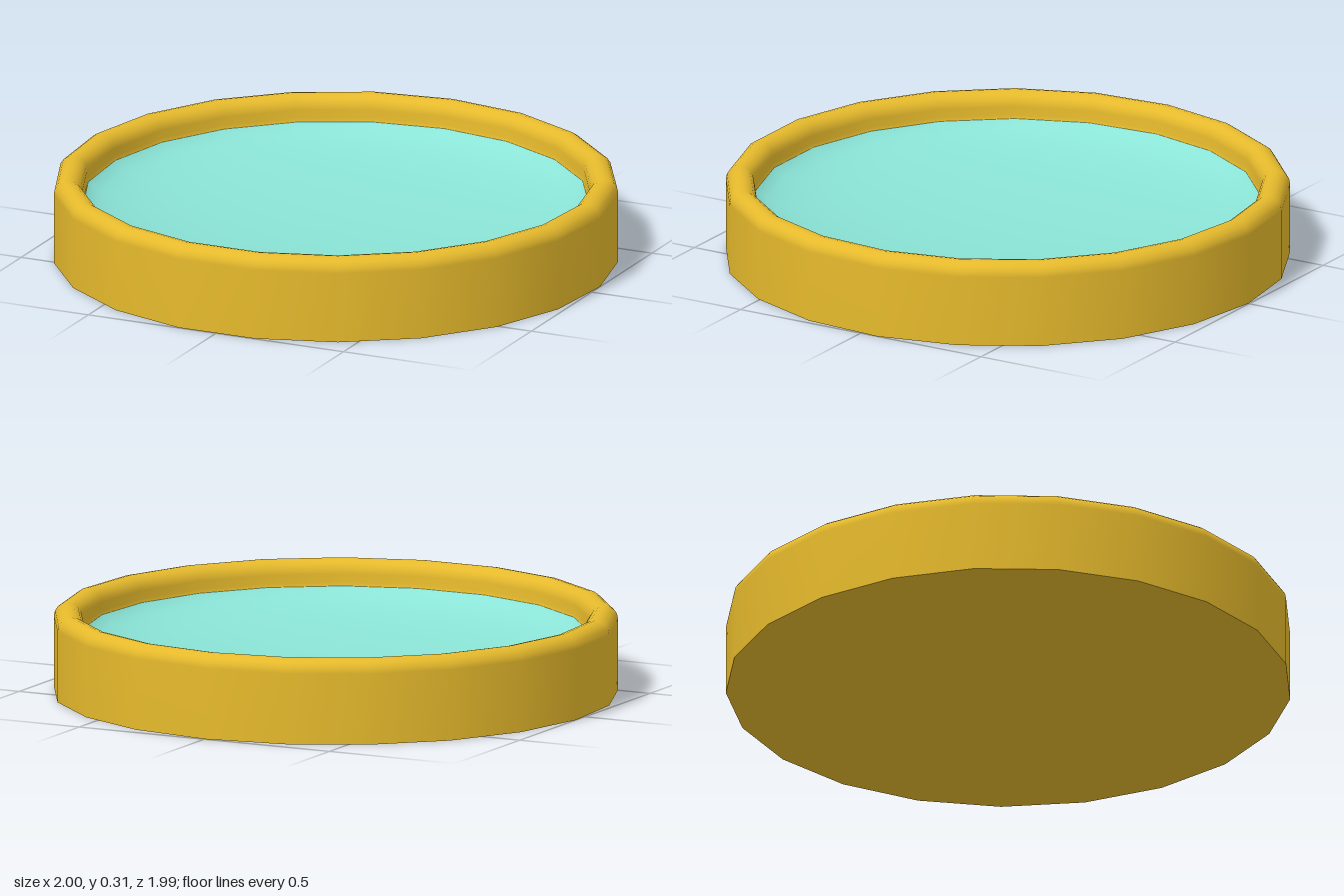
import * as THREE from 'three';

const SIDES = 21;
const R = 1.003;             // outer radius
const RIM = 0.05;            // radius of the rounded rim
const RIM_Y = 0.255;         // height where the rounding starts
const INNER = R - 2 * RIM;   // inner radius
const BOWL_Y = 0.225;        // height where the hollow starts
const BOWL_DEPTH = 0.13;
const SEAM = 0.1;            // angle along the hollow where the colour changes

// Revolve a profile, with one corner pointing straight back
function revolve(name, points, color) {
  const mesh = new THREE.Mesh(
    new THREE.LatheGeometry(points, SIDES, Math.PI),
    new THREE.MeshStandardMaterial({ color })
  );
  mesh.name = name;
  // An odd number of sides reaches further back than forward
  mesh.position.z = 0.0056;
  return mesh;
}

// Points of an elliptical arc around (cx, cy), from angle a to angle b
function arc(cx, cy, rx, ry, a, b, steps) {
  return Array.from({ length: steps + 1 }, (_, i) => {
    const t = a + ((b - a) * i) / steps;
    return new THREE.Vector2(Math.max(0, cx + rx * Math.cos(t)), cy + ry * Math.sin(t));
  });
}

export function createModel() {
  const group = new THREE.Group();
  group.name = 'shallowDish';
  const gold = 0xe6ba2c, teal = 0x8ae3d6;

  // Outer wall, rounded rim and inner lip
  group.add(revolve('wallAndRim', [
    new THREE.Vector2(R, 0),
    ...arc(R - RIM, RIM_Y, RIM, RIM, 0, Math.PI, 8),
    ...arc(0, BOWL_Y, INNER, BOWL_DEPTH, 0, -SEAM, 1),
  ], gold));

  // Hollow inner surface, curving down to the middle
  group.add(revolve('innerSurface',
    arc(0, BOWL_Y, INNER, BOWL_DEPTH, -SEAM, -Math.PI / 2, 14), teal));

  // Flat underside
  group.add(revolve('underside', [new THREE.Vector2(0, 0), new THREE.Vector2(R, 0)], gold));

  return group;
}
